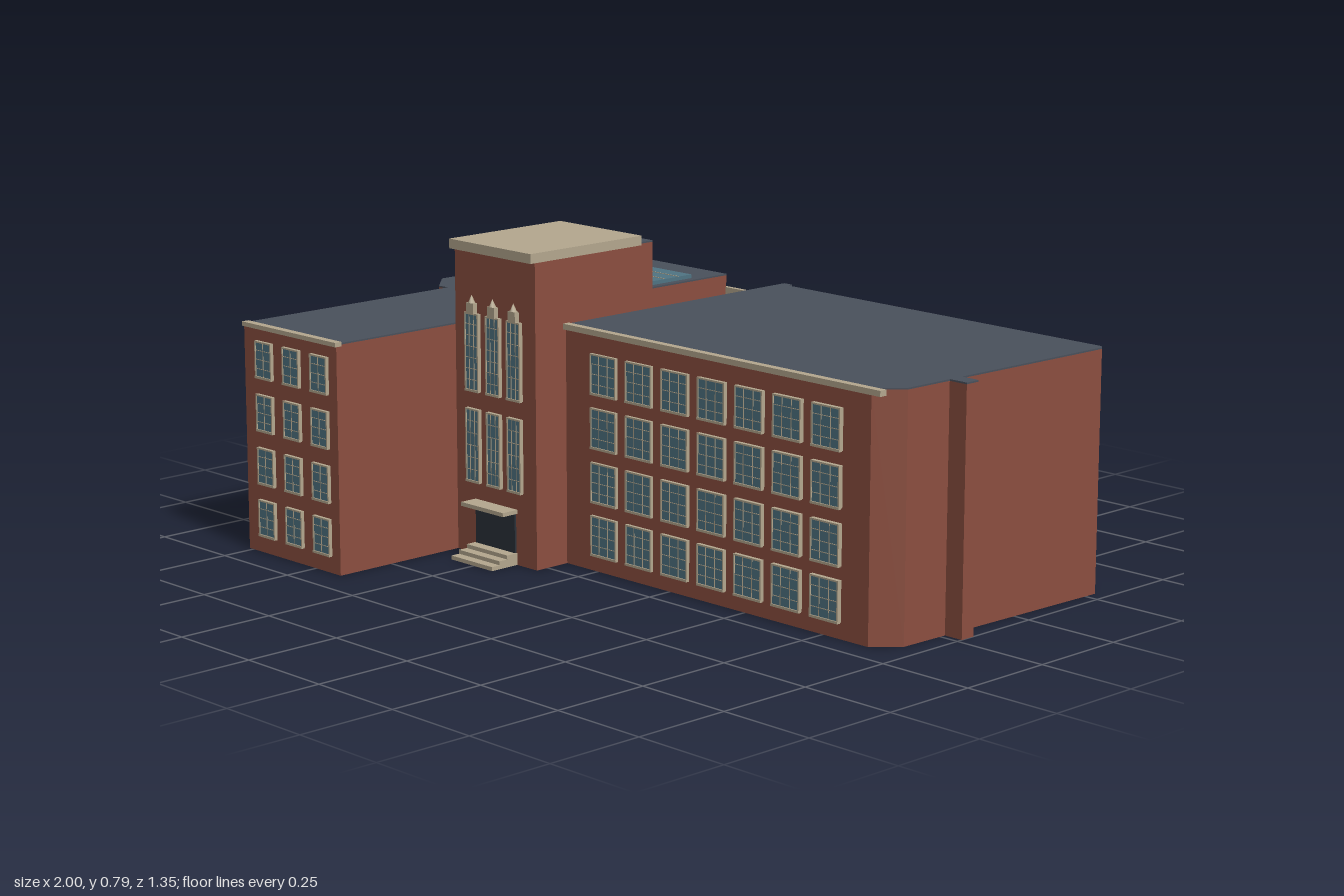
import * as THREE from 'three';
import { mergeGeometries } from 'three/addons/utils/BufferGeometryUtils.js';

const mat = (color) => new THREE.MeshStandardMaterial({ color });

export function createModel() {
  const model = new THREE.Group();
  const brick = mat(0x8c4f40), slate = mat(0x4a515c), stone = mat(0xb5a88f);
  const glass = mat(0x507584), dark = mat(0x2b323a);

  const add = (name, geometry, material) => {
    const mesh = new THREE.Mesh(geometry, material);
    mesh.name = name;
    model.add(mesh);
    return mesh;
  };
  // box given by its limits on each axis
  const boxGeo = (x0, x1, y0, y1, z0, z1) =>
    new THREE.BoxGeometry(x1 - x0, y1 - y0, z1 - z0)
      .translate((x0 + x1) / 2, (y0 + y1) / 2, (z0 + z1) / 2);
  const box = (name, material, ...limits) => add(name, boxGeo(...limits), material);

  // upright prism over a plan outline of [x, z] points
  const prism = (name, material, plan, y0, y1) => {
    const shape = new THREE.Shape(plan.map(([x, z]) => new THREE.Vector2(x, -z)));
    const geo = new THREE.ExtrudeGeometry(shape, { depth: y1 - y0, bevelEnabled: false });
    return add(name, geo.rotateX(-Math.PI / 2).translate(0, y0, 0), material);
  };
  const block = (name, plan, height) => {
    prism(name + 'Walls', brick, plan, 0, height - 0.004);
    prism(name + 'Roof', slate, plan, height - 0.004, height);
  };
  const rect = (x0, x1, z0, z1) => [[x0, z1], [x1, z1], [x1, z0], [x0, z0]];

  // main masses
  block('rightWing', [[-0.11, 0.185], [0.89, 0.18], [0.945, 0.12], [0.965, -0.535],
    [0.955, -0.545], [-0.11, -0.56]], 0.6);
  block('leftWing', [[-0.765, 0.66], [-0.405, 0.66], [-0.4, -0.655], [-0.82, -0.655],
    [-0.82, -0.664], [-0.985, -0.664], [-0.985, -0.27], [-0.87, -0.27], [-0.87, -0.07],
    [-0.8, 0], [-0.765, 0]], 0.575);
  block('rearLink', rect(-0.4, -0.08, -0.655, -0.1), 0.42);
  block('tower', rect(-0.403, -0.11, -0.105, 0.285), 0.77);

  // chimney and corner piers
  block('sideChimney', rect(0.94, 1, -0.055, -0.015), 0.6);
  block('rearPier', rect(-0.11, -0.082, -0.575, -0.53), 0.6);
  block('cornerPier', rect(-1, -0.97, -0.67, -0.65), 0.575);

  // stone caps and copings
  box('towerCap', stone, -0.406, -0.109, 0.762, 0.786, -0.068, 0.3);
  box('rightWingCoping', stone, -0.11, 0.93, 0.588, 0.602, 0.175, 0.195);
  box('leftWingCoping', stone, -0.767, -0.403, 0.567, 0.578, 0.645, 0.665);

  // skylight with glazing bars
  box('skylight', glass, -0.745, -0.42, 0.57, 0.585, -0.545, -0.16);
  for (let i = 1; i < 8; i++) {
    const z = -0.545 + i * 0.385 / 8;
    box('skylightBar', stone, -0.745, -0.42, 0.584, 0.5865, z - 0.001, z + 0.001);
  }

  // one window: stone surround, inset glass and glazing bars, collected for merging
  const frames = [], panes = [];
  const addWindow = (x, y, z, angle, w, h, cols, rows) => {
    const place = new THREE.Matrix4().makeRotationY(angle).setPosition(x, y, z);
    const part = (list, ...limits) => list.push(boxGeo(...limits).applyMatrix4(place));
    const a = w / 2, b = h / 2, t = 0.004;
    part(frames, -a, a, -b, b, -0.004, 0.004);
    part(panes, -a + t, a - t, -b + t, b - t, 0, 0.006);
    part(frames, -a, a, -b - 0.002, -b + t, 0, 0.009);
    part(frames, -a, a, b - t, b, 0, 0.008);
    for (const s of [-1, 1]) part(frames, s * (a - t / 2) - t / 2, s * (a - t / 2) + t / 2, -b, b, 0, 0.008);
    for (let i = 1; i < cols; i++) {
      const u = -a + i * w / cols;
      part(frames, u - 0.001, u + 0.001, -b, b, 0, 0.007);
    }
    for (let j = 1; j < rows; j++) {
      const v = -b + j * h / rows;
      part(frames, -a, a, v - 0.0008, v + 0.0008, 0, 0.007);
    }
  };
  const floors = [0.09, 0.223, 0.358, 0.492];
  const columns = (n, start, step) => Array.from({ length: n }, (_, i) => start + i * step);

  for (const y of floors) {
    // front
    for (const x of columns(7, 0.026, 0.1225)) addWindow(x, y, 0.184, 0, 0.09, 0.1, 3, 4);
    for (const x of columns(3, -0.683, 0.1075)) addWindow(x, y, 0.661, 0, 0.064, 0.092, 2, 4);
    // back
    for (const x of columns(7, 0.006, 0.129))
      addWindow(x, y, -0.5584 + (x + 0.11) * 0.014, Math.PI - 0.014, 0.09, 0.1, 3, 4);
    for (const x of columns(6, -0.765, 0.129)) addWindow(x, y, -0.657, Math.PI, 0.083, 0.095, 3, 4);
    addWindow(-0.9, y, -0.666, Math.PI, 0.08, 0.095, 3, 4);
    // left-wing outer side
    for (const z of columns(4, 0.045, 0.174)) addWindow(-0.767, y, z, -Math.PI / 2, 0.085, 0.095, 3, 4);
    addWindow(-0.872, y, -0.145, -Math.PI / 2, 0.09, 0.095, 3, 4);
    for (const z of [-0.51, -0.328]) addWindow(-0.987, y, z, -Math.PI / 2, 0.085, 0.095, 3, 4);
  }

  // tall tower windows with finials
  for (const x of [-0.335, -0.258, -0.182]) {
    addWindow(x, 0.512, 0.287, 0, 0.05, 0.195, 3, 7);
    addWindow(x, 0.277, 0.287, 0, 0.05, 0.185, 3, 6);
    box('finialBase', stone, x - 0.013, x + 0.013, 0.608, 0.635, 0.28, 0.298);
    add('finial', new THREE.ConeGeometry(0.009, 0.02, 8).translate(x, 0.645, 0.291), stone);
  }
  add('windowFrames', mergeGeometries(frames), stone);
  add('windowPanes', mergeGeometries(panes), glass);

  // entrance
  box('door', dark, -0.33, -0.185, 0.028, 0.13, 0.28, 0.29);
  box('doorCanopy', stone, -0.335, -0.18, 0.13, 0.14, 0.28, 0.333);
  for (let i = 0; i < 3; i++)
    box('entranceStep', stone, -0.333, -0.182, i * 0.01, (i + 1) * 0.01, 0.28, 0.368 - i * 0.025);

  return model;
}
